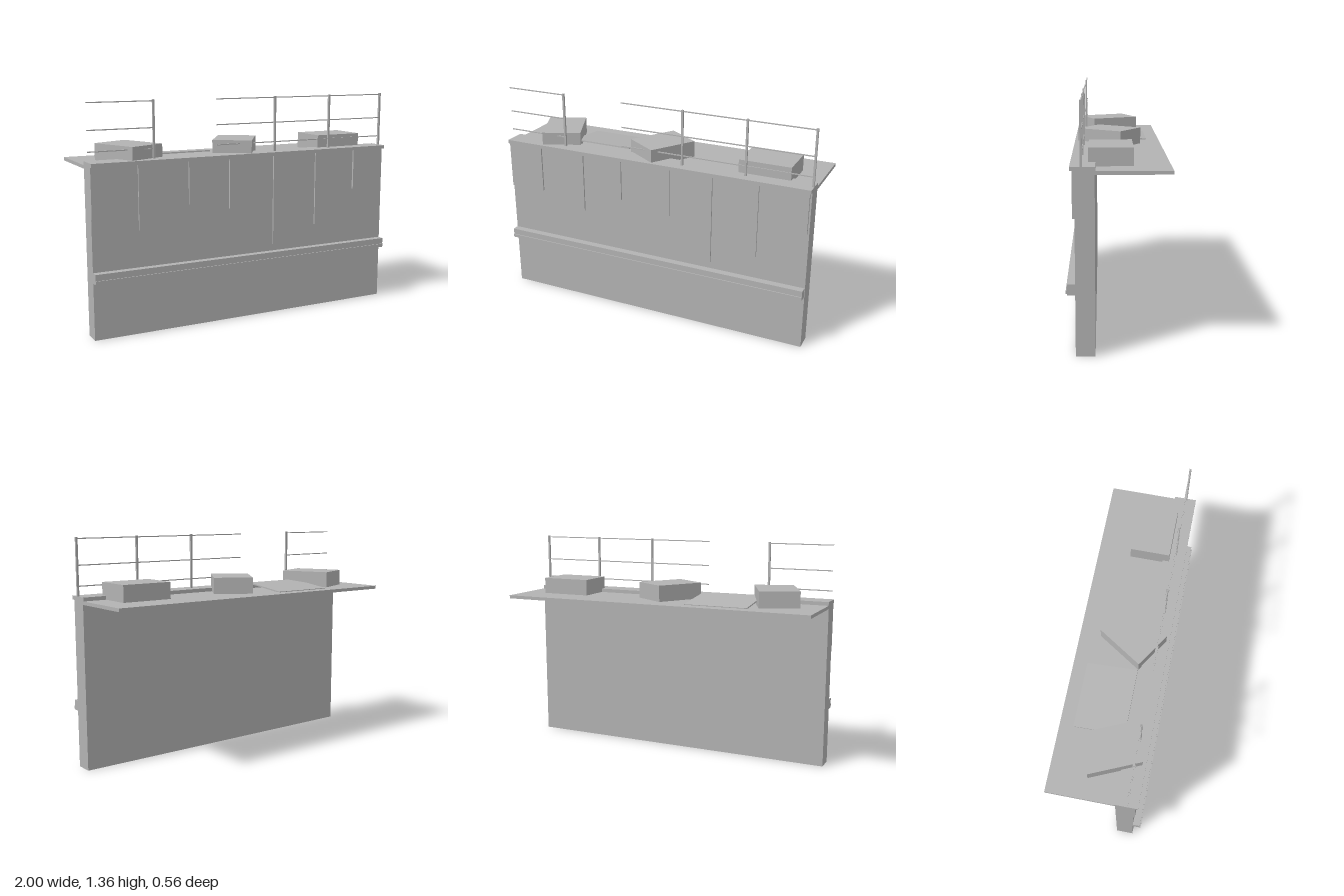
import * as THREE from 'three';

export function createModel() {
  const root = new THREE.Group();
  const grey = new THREE.MeshStandardMaterial({ color: 0xb2b2b2 });
  grey.name = 'concrete grey';

  // Box given by its minimum and maximum on each axis
  function box(name, x0, x1, y0, y1, z0, z1) {
    const mesh = new THREE.Mesh(new THREE.BoxGeometry(x1 - x0, y1 - y0, z1 - z0), grey);
    mesh.position.set((x0 + x1) / 2, (y0 + y1) / 2, (z0 + z1) / 2);
    mesh.name = name;
    root.add(mesh);
    return mesh;
  }

  // Wall, capping, walkway behind it and ledge along the front
  box('wall', -1, 0.995, 0, 1, 0.125, 0.23);
  box('wallCap', -1, 0.995, 1, 1.022, 0.12, 0.255);
  box('walkway', -1, 0.995, 0.98, 1, -0.28, 0.125);
  box('ledge', -1, 0.992, 0.34, 0.4, 0.23, 0.274);
  box('ledgeLip', -1, 0.992, 0.346, 0.363, 0.274, 0.28);

  // Hanging panels: left edge, right edge, bottom, thickness
  [
    [-1, -0.765, 0.705, 0.01],
    [-0.72, -0.46, 0.62, 0.01],
    [-0.405, -0.195, 0.743, 0.01],
    [-0.14, 0.13, 0.695, 0.01],
    [0.165, 0.405, 0.443, 0.01],
    [0.47, 0.69, 0.54, 0.01],
    [0.76, 0.985, 0.748, 0.013],
  ].forEach(([x0, x1, y0, t]) => box('hangingPanel', x0, x1, y0, 1, 0.23, 0.23 + t));

  // Crates: centre x, centre z, width, depth, turn
  [
    [-0.704, 0.041, 0.24, 0.318, 0.41],
    [-0.005, 0.041, 0.24, 0.31, -0.576],
    [0.693, 0.04, 0.315, 0.24, 0],
  ].forEach(([x, z, w, d, turn]) => {
    const crate = box('crate', x - w / 2, x + w / 2, 1, 1.1, z - d / 2, z + d / 2);
    crate.rotation.y = turn;
  });

  // Loose deck plate, raised along its front edge
  const plate = box('raisedPlate', -0.6, -0.205, 1.014, 1.022, -0.2, 0.105);
  plate.rotation.x = -0.12;

  // Railing with a gap in the middle
  for (const x of [-0.605, 0.195, 0.592, 0.989]) {
    box('railPost', x - 0.006, x + 0.006, 1, 1.36, 0.189, 0.201);
  }
  for (const y of [1.08, 1.2, 1.352]) {
    for (const [x0, x1] of [[-1, -0.605], [-0.205, 0.995]]) {
      box('rail', x0, x1, y - 0.003, y + 0.003, 0.192, 0.198);
    }
  }
  return root;
}
